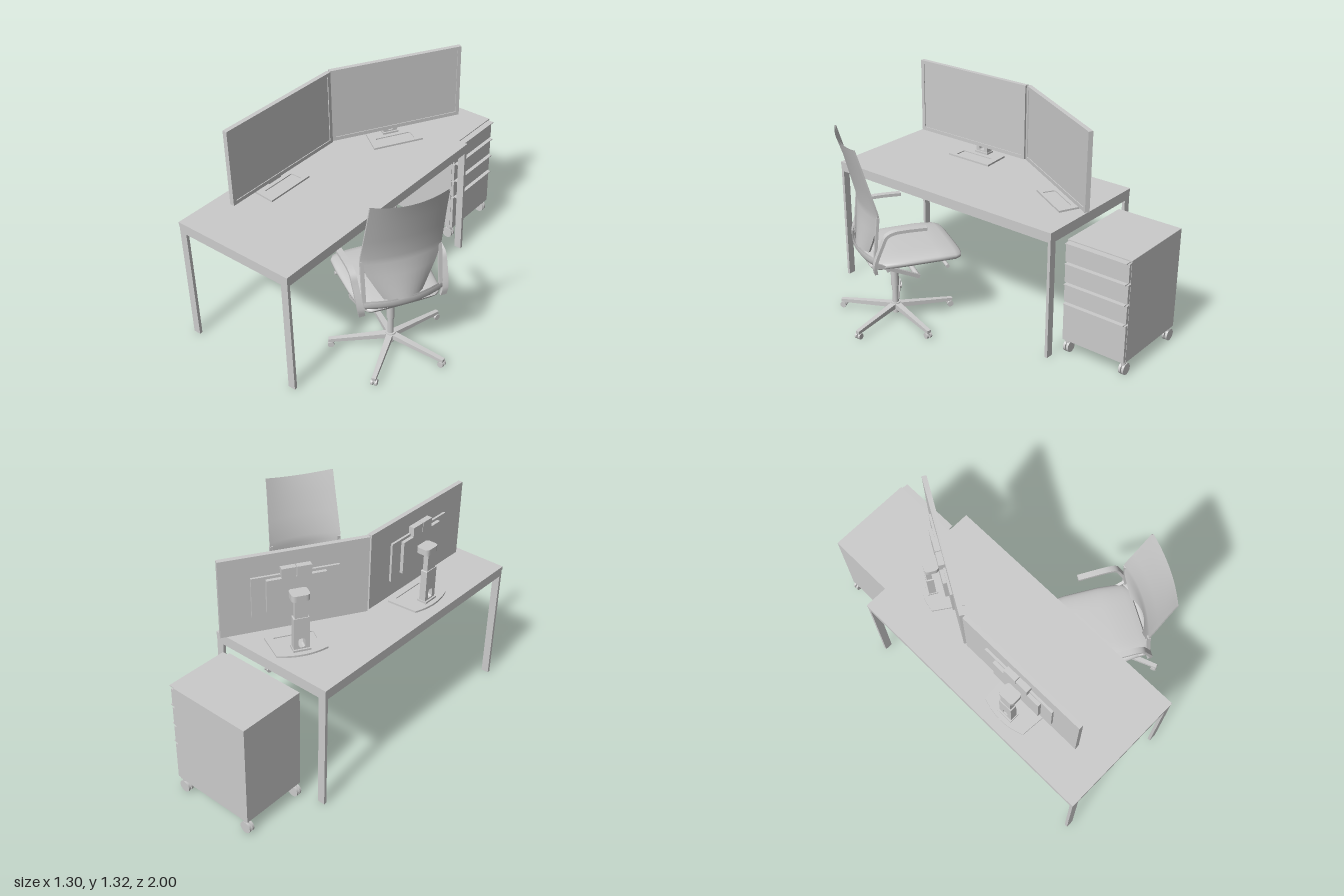
import * as THREE from 'three';
import { toCreasedNormals } from 'three/addons/utils/BufferGeometryUtils.js';

const grey = new THREE.MeshStandardMaterial({ color: 0xcccccc });
const greyThin = new THREE.MeshStandardMaterial({ color: 0xcccccc, side: THREE.DoubleSide });
const V = (x, y, z) => new THREE.Vector3(x, y, z);

function add(parent, name, geo, mat = grey) {
  const m = new THREE.Mesh(geo, mat);
  m.name = name;
  parent.add(m);
  return m;
}
function group(parent, name) {
  const g = new THREE.Group();
  g.name = name;
  if (parent) parent.add(g);
  return g;
}
// Box from its limits
function box(parent, name, x0, x1, y0, y1, z0, z1) {
  const m = add(parent, name, new THREE.BoxGeometry(x1 - x0, y1 - y0, z1 - z0));
  m.position.set((x0 + x1) / 2, (y0 + y1) / 2, (z0 + z1) / 2);
  return m;
}
// Rectangular bar from a to b, scaled by taper at b
function beam(parent, name, a, b, w, h, taper = 1) {
  const geo = new THREE.BoxGeometry(w, h, a.distanceTo(b));
  const p = geo.attributes.position;
  for (let i = 0; i < p.count; i++)
    if (p.getZ(i) > 0) p.setXY(i, p.getX(i) * taper, p.getY(i) * taper);
  geo.computeVertexNormals();
  const m = new THREE.Mesh(geo, grey);
  m.name = name;
  m.position.copy(a).lerp(b, 0.5);
  m.lookAt(b);
  parent.add(m);
}
// Cylinder along 'x' or 'y'
function cyl(parent, name, r, len, x, y, z, axis = 'y', r2 = r) {
  const m = add(parent, name, new THREE.CylinderGeometry(r2, r, len, 24));
  m.position.set(x, y, z);
  if (axis === 'x') m.rotation.z = Math.PI / 2;
  return m;
}
// Skin over closed rings of equal length
function loft(parent, name, rings) {
  const n = rings[0].length, idx = [];
  for (let i = 0; i < rings.length - 1; i++)
    for (let j = 0; j < n; j++) {
      const a = i * n + j, b = i * n + (j + 1) % n;
      idx.push(a, b, a + n, b, b + n, a + n);
    }
  const geo = new THREE.BufferGeometry().setFromPoints(rings.flat());
  geo.setIndex(idx);
  return add(parent, name, toCreasedNormals(geo, 0.7), greyThin);
}
// Thin bowed sheet; rows are [y, z at the edges, half width, bow, dip]
function sheet(parent, name, rows, t) {
  const n = 12;
  loft(parent, name, rows.map(([y, z, hw, bow, dip = 0]) => {
    const ring = [];
    for (let k = 0; k < 2 * (n + 1); k++) {
      const back = k > n, u = back ? 1 - 2 * (k - n - 1) / n : -1 + 2 * k / n;
      const s = 1 - u * u;
      ring.push(V(u * hw, y - dip * s, z - bow * s - (back ? t : 0)));
    }
    return ring;
  }));
}

function rectShape(x0, x1, y0, y1, r, Type = THREE.Shape) {
  const s = new Type();
  s.moveTo(x0 + r, y0);
  s.lineTo(x1 - r, y0); s.quadraticCurveTo(x1, y0, x1, y0 + r);
  s.lineTo(x1, y1 - r); s.quadraticCurveTo(x1, y1, x1 - r, y1);
  s.lineTo(x0 + r, y1); s.quadraticCurveTo(x0, y1, x0, y1 - r);
  s.lineTo(x0, y0 + r); s.quadraticCurveTo(x0, y0, x0 + r, y0);
  return s;
}

function makeDesk(root) {
  const g = group(root, 'desk');
  box(g, 'deskTop', -0.65, 0.12, 0.745, 0.765, -0.575, 1);
  for (const z of [-0.573, 0.98]) {
    box(g, 'endRail', -0.648, 0.118, 0.702, 0.745, z, z + 0.018);
    for (const x of [-0.648, 0.073]) box(g, 'deskLeg', x, x + 0.045, 0, 0.745, z, z + 0.018);
  }
  for (const x of [-0.648, 0.098]) box(g, 'sideRail', x, x + 0.02, 0.705, 0.745, -0.57, 0.995);
}

function makePedestal(root) {
  const g = group(root, 'drawerPedestal');
  box(g, 'cabinet', -0.5, 0.0, 0.085, 0.695, -1, -0.6);
  // Drawer fronts, each with a lip handle along its top
  const ys = [0.085, 0.325, 0.445, 0.568, 0.69];
  for (let i = 0; i < 4; i++) {
    box(g, 'drawerFront', 0, 0.018, ys[i] + 0.003, ys[i + 1] - 0.009, -0.998, -0.602);
    box(g, 'drawerHandle', 0, 0.038, ys[i + 1] - 0.006, ys[i + 1] - 0.001, -0.99, -0.61);
  }
  // Twin wheel casters
  for (const x of [-0.478, -0.022]) for (const z of [-0.98, -0.62]) {
    for (const d of [-0.01, 0.01]) {
      const w = cyl(g, 'casterWheel', 0.034, 0.013, x, 0.034, z + d);
      w.rotation.x = Math.PI / 2;
    }
    cyl(g, 'casterStem', 0.014, 0.04, x + 0.008, 0.068, z);
  }
}

// Monitor facing +x, origin at the middle of the panel on the desk top
function makeMonitor(root, x, z, turn) {
  const g = group(root, 'monitor');
  g.position.set(x, 0.765, z);
  g.rotation.y = turn;
  box(g, 'panel', -0.014, 0.008, 0.1, 0.55, -0.4, 0.4);
  const bezel = rectShape(-0.4, 0.4, 0.1, 0.55, 0.004);
  bezel.holes.push(rectShape(-0.378, 0.378, 0.122, 0.528, 0.001, THREE.Path));
  const b = add(g, 'bezel', new THREE.ExtrudeGeometry(bezel, { depth: 0.005, bevelEnabled: false }));
  b.rotation.y = Math.PI / 2;
  b.position.x = 0.008;
  // Rear housing
  box(g, 'rearHousing', -0.027, -0.014, 0.2, 0.43, -0.235, 0.235);
  box(g, 'rearCover', -0.047, -0.027, 0.225, 0.415, -0.16, 0.16);
  for (const s of [-1, 1])
    box(g, 'rearVent', -0.047, -0.014, 0.415, 0.47, s * 0.041 - 0.039, s * 0.041 + 0.039);
  // Stand column with a cable opening
  const col = rectShape(-0.043, 0.043, 0.01, 0.21, 0.004);
  col.holes.push(rectShape(-0.018, 0.018, 0.03, 0.085, 0.012, THREE.Path));
  const c = add(g, 'standColumn', new THREE.ExtrudeGeometry(col, { depth: 0.04, bevelEnabled: false }));
  c.rotation.y = Math.PI / 2;
  c.position.x = -0.125;
  box(g, 'standSlider', -0.12, -0.09, 0.2, 0.32, -0.035, 0.035);
  const head = add(g, 'standHead', new THREE.ExtrudeGeometry(rectShape(-0.124, -0.045, -0.05, 0.05, 0.025),
    { depth: 0.035, bevelEnabled: false, curveSegments: 8 }));
  head.rotation.x = -Math.PI / 2;
  head.position.y = 0.31;
  box(g, 'standFoot', -0.135, -0.075, 0.008, 0.022, -0.048, 0.048);
  // Base plate with a raised rim
  const base = new THREE.Shape();
  base.moveTo(0.045, -0.155);
  base.lineTo(0.045, 0.155);
  base.lineTo(-0.135, 0.14);
  base.quadraticCurveTo(-0.19, 0, -0.135, -0.14);
  const plate = add(g, 'basePlate', new THREE.ExtrudeGeometry(base, { depth: 0.005, bevelEnabled: false }));
  base.holes.push(rectShape(-0.05, 0.025, -0.11, 0.11, 0.01, THREE.Path));
  const rim = add(g, 'baseRim', new THREE.ExtrudeGeometry(base, { depth: 0.006, bevelEnabled: false }));
  plate.rotation.x = rim.rotation.x = -Math.PI / 2;
  rim.position.y = 0.005;
}

// Chair facing its own +z
function makeChair(root) {
  const g = group(root, 'officeChair');
  g.position.set(0.3, 0, 0.4);
  g.rotation.y = -2 * Math.PI / 3;

  // Five-star base, turned independently of the seat
  const star = group(g, 'starBase');
  star.rotation.y = 2 * Math.PI / 3;
  for (let i = 0; i < 5; i++) {
    const leg = group(star, 'baseLeg');
    leg.rotation.y = (4.5 - 72 * i) * Math.PI / 180;
    beam(leg, 'legArm', V(0.015, 0.07, 0), V(0.345, 0.044, 0), 0.036, 0.03, 0.65);
    cyl(leg, 'casterStem', 0.008, 0.03, 0.333, 0.032, 0);
    for (const d of [-0.011, 0.011]) {
      const w = cyl(leg, 'casterWheel', 0.018, 0.013, 0.333, 0.018, d);
      w.rotation.x = Math.PI / 2;
    }
  }
  cyl(g, 'hub', 0.034, 0.04, 0, 0.07, 0, 'y', 0.028);
  cyl(g, 'gasLift', 0.018, 0.2, 0, 0.12, 0);
  cyl(g, 'columnSleeve', 0.023, 0.13, 0, 0.265, 0);

  // Tilt mechanism, axle and seat pan
  beam(g, 'tiltHousing', V(0, 0.343, -0.06), V(0, 0.38, 0.2), 0.1, 0.06, 0.65);
  cyl(g, 'tiltAxle', 0.015, 0.4, 0, 0.342, 0.08, 'x');
  box(g, 'seatPan', -0.17, 0.17, 0.398, 0.418, -0.1, 0.26);
  for (const s of [-1, 1]) {
    cyl(g, 'lever', 0.011, 0.12, s * 0.17, 0.388, 0.25, 'x');
    beam(g, 'backStrut', V(s * 0.2, 0.34, 0.09), V(s * 0.225, 0.47, -0.17), 0.016, 0.022);
  }

  // Seat cushion lofted from front to back: [z, half width, half thickness, centre height]
  const seat = [[0.352, 0.13, 0.002, 0.435], [0.348, 0.18, 0.014, 0.435], [0.335, 0.215, 0.024, 0.436],
    [0.3, 0.235, 0.031, 0.439], [0.2, 0.242, 0.033, 0.445], [0, 0.24, 0.033, 0.446],
    [-0.14, 0.226, 0.03, 0.444], [-0.18, 0.2, 0.02, 0.445], [-0.19, 0.18, 0.002, 0.445]];
  const pw = (v, e) => Math.sign(v) * Math.abs(v) ** e;
  loft(g, 'seatCushion', seat.map(([z, hw, ht, y]) => Array.from({ length: 36 }, (_, k) => {
    const a = k / 36 * Math.PI * 2;
    return V(hw * pw(Math.cos(a), 0.45), y + ht * pw(Math.sin(a), 0.8), z);
  })));

  // Backrest sheet, narrowing below the waist, and the band under it
  sheet(g, 'backrest', [[0.495, -0.165, 0.11, 0.04], [0.57, -0.153, 0.15, 0.042], [0.65, -0.142, 0.19, 0.042],
    [0.73, -0.135, 0.222, 0.04], [0.77, -0.138, 0.226, 0.038], [0.9, -0.175, 0.22, 0.034],
    [1.03, -0.211, 0.214, 0.03], [1.15, -0.246, 0.21, 0.028, 0.022]], 0.01);
  sheet(g, 'backBand', [[0.505, -0.165, 0.222, 0.045], [0.48, -0.167, 0.225, 0.045], [0.452, -0.15, 0.222, 0.045],
    [0.428, -0.105, 0.215, 0.03], [0.415, -0.03, 0.2, 0.01]], 0.012);
  for (const s of [-1, 1]) {
    beam(g, 'backUpright', V(s * 0.217, 0.47, -0.17), V(s * 0.217, 0.75, -0.142), 0.02, 0.016);

    // Armrest post bending into a flat arm pad
    const arm = group(g, 'armrest');
    const path = [V(0.232, 0.42, -0.17), V(0.24, 0.47, -0.175), V(0.25, 0.6, -0.13),
      V(0.252, 0.645, -0.108), V(0.252, 0.662, -0.07), V(0.252, 0.665, 0), V(0.252, 0.66, 0.115)];
    const curve = new THREE.CatmullRomCurve3(path);
    const rings = curve.getPoints(24).map((p, i) => {
      const t = curve.getTangent(i / 24), n = V(0, t.z, -t.y).normalize();
      return [[-1, -1], [1, -1], [1, 1], [-1, 1]].map(([a, b]) =>
        V(s * (p.x + a * 0.017), p.y + b * 0.009 * n.y, p.z + b * 0.009 * n.z));
    });
    loft(arm, 'armFrame', rings);
    box(arm, 'armTip', s * 0.252 - 0.017, s * 0.252 + 0.017, 0.651, 0.669, 0.108, 0.122);
  }
}

export function createModel() {
  const root = group(null, 'workstation');
  makeDesk(root);
  makePedestal(root);
  makeMonitor(root, -0.428, 0.412, 0);
  makeMonitor(root, -0.234, -0.345, -Math.PI / 6);
  makeChair(root);
  return root;
}
